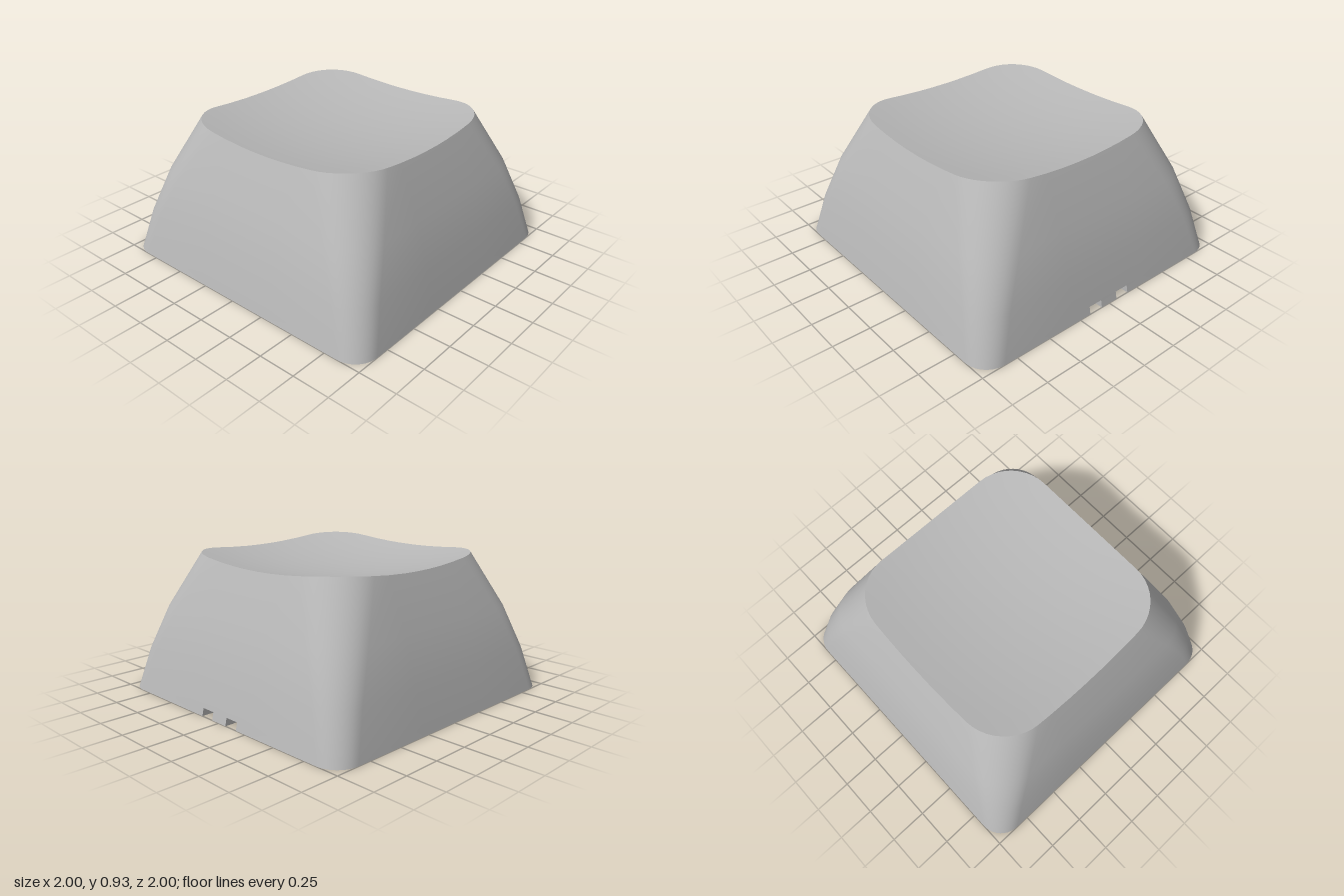
import * as THREE from 'three';
import { toCreasedNormals } from 'three/addons/utils/BufferGeometryUtils.js';

const ARC = 10; // segments per rounded corner
const NOTCH_H = 0.05;
const STRAIGHT = [-0.3, -0.165, -0.065, 0.065, 0.165, 0.3];
const SIDE = STRAIGHT.length + ARC + 1;
// the two notches are straight segments of the back side
const NOTCHES = [SIDE + 1, SIDE + 3];

const dish = (x, z) => 0.82 + 0.14 * (x * x + z * z);

// rounded square loop, running front -> +x side -> back -> -x side
function ring(half, r, y) {
  const pts = [];
  for (let k = 0; k < 4; k++) {
    const local = STRAIGHT.map((t) => [half, t]);
    for (let i = 0; i <= ARC; i++) {
      const a = (i / ARC) * Math.PI / 2;
      local.push([half - r + r * Math.cos(a), half - r + r * Math.sin(a)]);
    }
    for (let [u, v] of local) {
      for (let n = 0; n < k; n++) [u, v] = [-v, u];
      pts.push(new THREE.Vector3(u, y, -v));
    }
  }
  return pts;
}

function quad(out, a, b, c, d) {
  for (const p of [a, b, c, a, c, d]) out.push(p.x, p.y, p.z);
}

// joins two loops; skip lists the segments left open
function band(out, a, b, skip = []) {
  a.forEach((p, i) => {
    const j = (i + 1) % a.length;
    if (!skip.includes(i)) quad(out, p, a[j], b[j], b[i]);
  });
}

function fan(out, loop, centre, down) {
  loop.forEach((p, i) => {
    const q = loop[(i + 1) % loop.length];
    for (const v of down ? [q, p, centre] : [p, q, centre]) out.push(v.x, v.y, v.z);
  });
}

export function createModel() {
  const group = new THREE.Group();
  const grey = new THREE.MeshStandardMaterial({ color: 0xb8b8b8 });
  grey.name = 'grey plastic';

  function add(name, geometry) {
    const mesh = new THREE.Mesh(toCreasedNormals(geometry, 0.5), grey);
    mesh.name = name;
    group.add(mesh);
  }
  function addFaces(name, positions) {
    const g = new THREE.BufferGeometry();
    g.setAttribute('position', new THREE.Float32BufferAttribute(positions, 3));
    add(name, g);
  }

  // loops of the outer walls, the last one following the dished top
  const outer = [
    ring(1, 0.16, 0), ring(0.989, 0.165, NOTCH_H), ring(0.94, 0.19, 0.28), ring(0.857, 0.24, 0.57),
  ];
  const topEdge = ring(0.72, 0.3, 0).map((p) => {
    const s = (0.726 - 0.4 * (dish(p.x, p.z) - 0.89)) / 0.72;
    return new THREE.Vector3(p.x * s, dish(p.x * s, p.z * s), p.z * s);
  });
  outer.push(topEdge);

  const walls = [];
  for (let i = 0; i + 1 < outer.length; i++) band(walls, outer[i], outer[i + 1], i ? [] : NOTCHES);
  addFaces('outerWalls', walls);

  // concave top, in shrinking loops
  const top = [];
  let loop = topEdge;
  for (let k = 7; k > 0; k--) {
    const next = topEdge.map((p) => {
      const x = p.x * k / 8, z = p.z * k / 8;
      return new THREE.Vector3(x, dish(x, z), z);
    });
    band(top, loop, next);
    loop = next;
  }
  fan(top, loop, new THREE.Vector3(0, dish(0, 0), 0), false);
  addFaces('dishedTop', top);

  // hollow inside
  const inner = [ring(0.82, 0.04, 0), ring(0.802, 0.045, NOTCH_H), ring(0.6, 0.1, 0.62)];
  const cavity = [];
  band(cavity, inner[1], inner[0], NOTCHES);
  band(cavity, inner[2], inner[1]);
  fan(cavity, inner[2], new THREE.Vector3(0, 0.62, 0), true);
  addFaces('innerCavity', cavity);

  // bottom rim and the notches through the back wall
  const rim = [];
  band(rim, inner[0], outer[0], NOTCHES);
  addFaces('bottomRim', rim);
  const notches = [];
  for (const i of NOTCHES) {
    const j = i + 1;
    quad(notches, inner[1][i], inner[1][j], outer[1][j], outer[1][i]);
    quad(notches, outer[0][i], inner[0][i], inner[1][i], outer[1][i]);
    quad(notches, outer[1][j], inner[1][j], inner[0][j], outer[0][j]);
  }
  addFaces('backNotches', notches);

  // stem with a cross-shaped socket
  const stem = new THREE.Shape().absarc(0, 0, 0.302, 0, Math.PI * 2);
  const L = 0.265, W = 0.085;
  const cross = [];
  for (let k = 0; k < 4; k++) {
    for (let [x, y] of [[W, -W], [L, -W], [L, W]]) {
      for (let n = 0; n < k; n++) [x, y] = [-y, x];
      cross.push(new THREE.Vector2(x, y));
    }
  }
  stem.holes.push(new THREE.Path(cross));
  add('stem', new THREE.ExtrudeGeometry(stem, { depth: 0.42, bevelEnabled: false, curveSegments: 40 })
    .rotateX(-Math.PI / 2));

  // flared root joining the stem to the ceiling
  add('stemRoot', new THREE.CylinderGeometry(0.46, 0.302, 0.2, 40).translate(0, 0.52, 0));

  return group;
}
